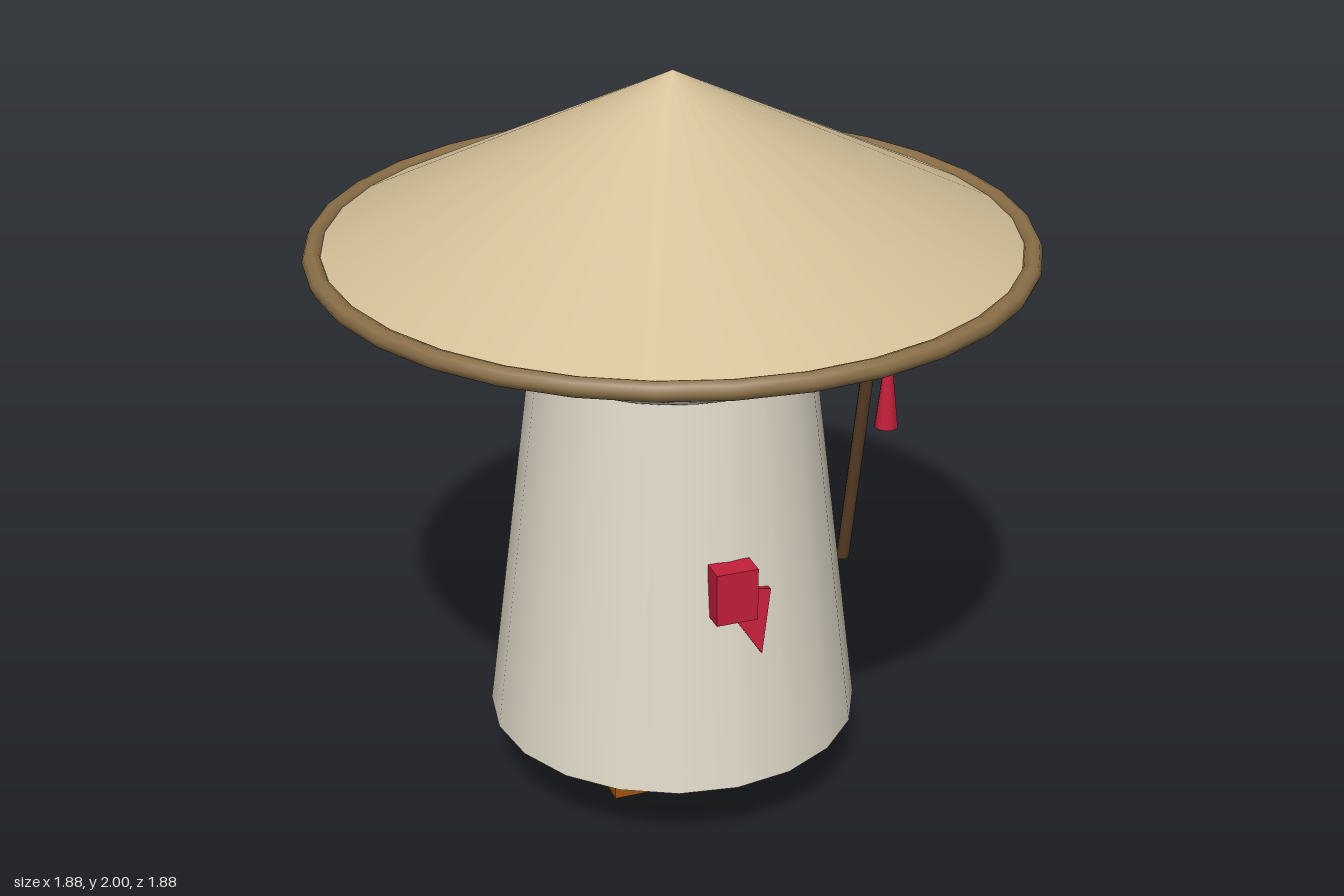
import * as THREE from 'three';

export function createModel() {
  const model = new THREE.Group();
  model.name = 'strawHatTraveller';

  const mat = (name, color, flatShading = false) => {
    const m = new THREE.MeshStandardMaterial({ color, flatShading });
    m.name = name;
    return m;
  };
  const straw = mat('straw', 0xd4c098);
  const rim = mat('rimBrown', 0x8b7048);
  const cloth = mat('robeCloth', 0xe0d9c8);
  const collarCloth = mat('collarCloth', 0xe6e2d8);
  const dark = mat('darkHair', 0x2e2232);
  const eyeDark = mat('eyeDark', 0x22161e);
  const pink = mat('cheekPink', 0xd865a8);
  const red = mat('red', 0xc41e3a);
  const sandalWood = mat('sandalWood', 0xa5520f);
  const poleWood = mat('poleWood', 0x5c4028);

  const add = (name, geometry, material, x = 0, y = 0, z = 0) => {
    const mesh = new THREE.Mesh(geometry, material);
    mesh.name = name;
    mesh.position.set(x, y, z);
    model.add(mesh);
    return mesh;
  };

  // Conical hat with a rolled rim
  add('hat', new THREE.ConeGeometry(0.914, 0.457, 32), straw, 0, 1.7715, 0);
  add('hatRim', new THREE.TorusGeometry(0.914, 0.026, 8, 32), rim, 0, 1.543, 0).rotation.x = Math.PI / 2;

  // Head, hair cap and a bun whose tip just breaks the back of the hat
  add('head', new THREE.SphereGeometry(0.335, 24, 16), straw, 0, 1.47, 0);
  add('hair', new THREE.SphereGeometry(0.346, 24, 12, 0, Math.PI * 2, 0, Math.PI * 0.555), dark, 0, 1.47, 0);
  add('hairBun', new THREE.SphereGeometry(0.1, 16, 12), dark, 0, 1.809, -0.167).rotation.x = -0.47;

  // Robe and padded collar
  add('robe', new THREE.CylinderGeometry(0.364, 0.5, 1.1, 20), cloth, 0, 0.75, 0);
  add('collar', new THREE.TorusGeometry(0.362, 0.048, 10, 32), collarCloth, 0, 1.304, 0).rotation.x = Math.PI / 2;

  // Paired face details, legs and sandals
  for (const [side, s] of [['left', 1], ['right', -1]]) {
    add(side + 'Eye', new THREE.SphereGeometry(0.035, 12, 8), eyeDark, s * 0.12, 1.47, 0.32);
    add(side + 'Cheek', new THREE.SphereGeometry(0.045, 12, 8), pink, s * 0.197, 1.4, 0.265);
    add(side + 'Leg', new THREE.CylinderGeometry(0.08, 0.08, 0.225, 16), dark, s * 0.155, 0.1375, 0);
    add(side + 'Sandal', new THREE.BoxGeometry(0.134, 0.058, 0.248), sandalWood, s * 0.155, 0.029, 0.031);
  }

  // Red knot on the robe with a pointed tail
  add('knot', new THREE.BoxGeometry(0.112, 0.145, 0.066), red, 0, 0.757, 0.45);
  const tail = new THREE.Shape([[-0.005, 0.1], [0.11, 0.075], [0.08, -0.1], [0.015, 0]]
    .map(([x, y]) => new THREE.Vector2(x, y)));
  add('knotTail', new THREE.ExtrudeGeometry(tail, { depth: 0.03, bevelEnabled: false }), red, 0, 0.66, 0.414)
    .rotation.x = -0.12;

  // Leaning pole with a hanging lantern and tassel
  add('pole', new THREE.CylinderGeometry(0.018, 0.018, 0.97, 8), poleWood, 0.46, 1.073, 0.19).rotation.x = 0.2;
  const lanternGeometry = new THREE.OctahedronGeometry(0.15); // faceted normals
  add('lantern', lanternGeometry, straw, 0.46, 1.4, 0.34);
  add('tassel', new THREE.CylinderGeometry(0.012, 0.032, 0.17, 8), red, 0.46, 1.185, 0.34);

  return model;
}
